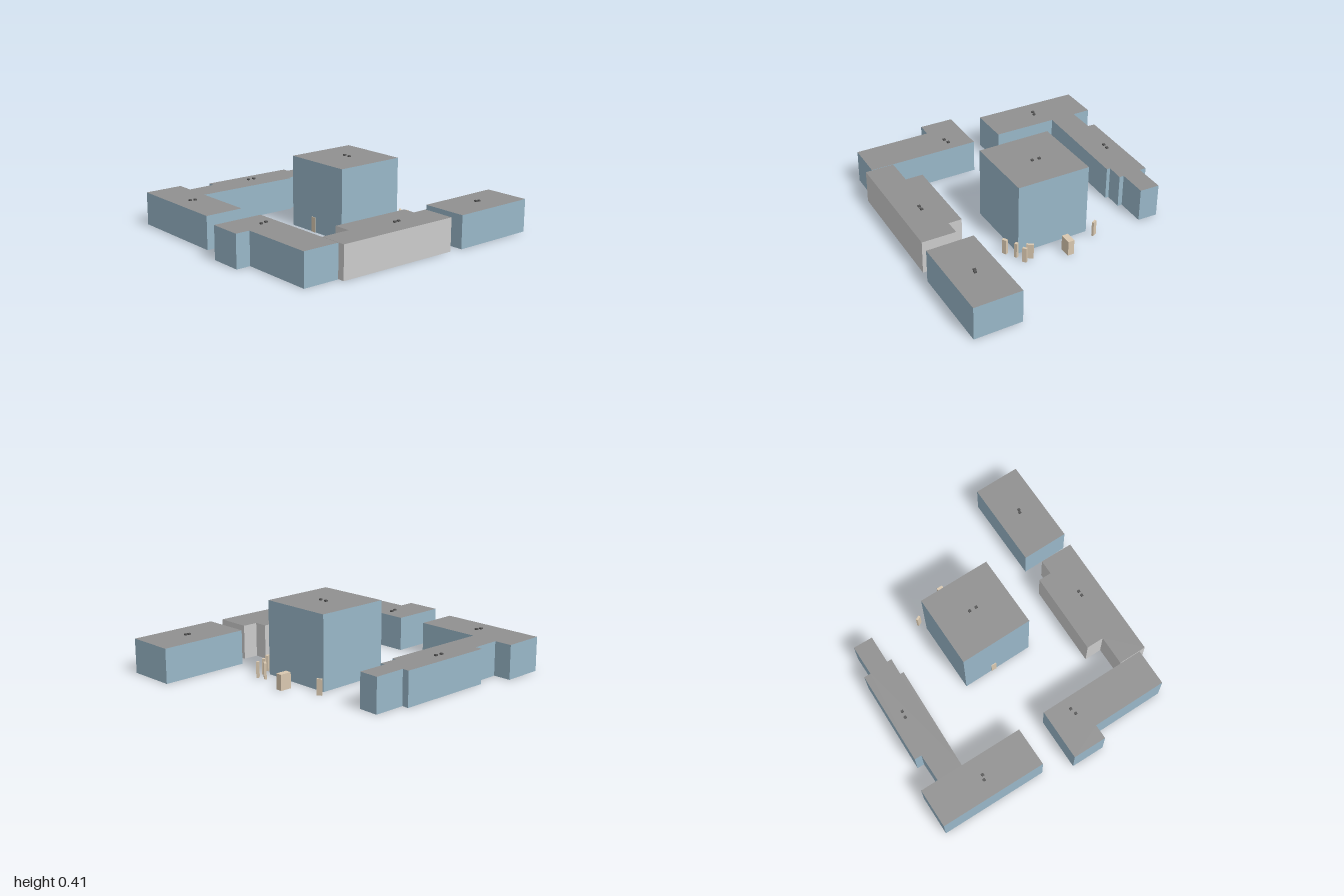
import * as THREE from 'three';
import { mergeGeometries } from 'three/addons/utils/BufferGeometryUtils.js';

const LOW = 0.187, HIGH = 0.4, TURN = -0.5;
const mat = (color, side = THREE.FrontSide) => new THREE.MeshStandardMaterial({ color, side });

// Footprints as [x, z] corners, clockwise seen from above
const BUILDINGS = [
  { name: 'tower', height: HIGH, plan: [[-0.04, -0.54], [0.322, -0.345], [0.13, 0.018], [-0.235, -0.175]] },
  { name: 'angledWing', height: LOW, plan: [
    [-1, 0.125], [-0.893, -0.07], [-0.805, -0.022], [-0.73, -0.162], [-0.765, -0.182], [-0.5, -0.647],
    [-0.467, -0.628], [-0.382, -0.783], [-0.285, -0.727], [-0.366, -0.583], [-0.342, -0.571],
    [-0.393, -0.486], [-0.375, -0.476], [-0.676, 0.05], [-0.364, 0.222], [-0.47, 0.42]] },
  { name: 'frontBlock', height: LOW, plan: [
    [-0.22, 0.293], [0.33, 0.59], [0.227, 0.775], [-0.152, 0.57], [-0.192, 0.643], [-0.36, 0.55]] },
  { name: 'greyBlock', height: LOW, grey: true, plan: [
    [0.447, -0.083], [0.512, -0.048], [0.553, -0.123], [0.72, -0.032],
    [0.364, 0.605], [0.222, 0.528], [0.304, 0.38], [0.217, 0.333]] },
  { name: 'backBlock', height: LOW, plan: [[0.765, -0.652], [1, -0.528], [0.763, -0.09], [0.53, -0.213]] },
];

// Rooftop vents: [x, z, roof height]
const VENTS = [
  [0.03, -0.285, HIGH], [0.065, -0.265, HIGH],
  [-0.59, -0.34, LOW], [-0.57, -0.37, LOW],
  [-0.69, 0.19, LOW], [-0.67, 0.17, LOW],
  [-0.135, 0.41, LOW], [-0.145, 0.445, LOW],
  [0.475, 0.165, LOW], [0.488, 0.14, LOW],
  [0.762, -0.375, LOW], [0.775, -0.387, LOW],
];

// Small kiosks on the ground: [x, z, width, depth, turn]
const KIOSKS = [
  [-0.035, -0.59, 0.028, 0.012, 0], [0.168, -0.55, 0.035, 0.065, TURN],
  [0.32, -0.415, 0.013, 0.038, 0.45], [0.362, -0.41, 0.014, 0.024, 0.2],
  [0.35, -0.352, 0.018, 0.016, 0], [0.356, -0.286, 0.016, 0.026, 0],
  [0.03, -0.25, 0.03, 0.03, TURN], [0.02, -0.36, 0.03, 0.03, TURN], [-0.07, -0.1, 0.03, 0.03, TURN],
];

// Hollow building: one wall per footprint edge, a flat roof, open underneath
function building({ name, height, plan, grey }) {
  const group = new THREE.Group();
  group.name = name;
  const panels = plan.map(([bx, bz], i) => {
    const [ax, az] = plan[(i + 1) % plan.length];
    const dx = bx - ax, dz = bz - az;
    return new THREE.PlaneGeometry(Math.hypot(dx, dz), height)
      .rotateY(Math.atan2(-dz, dx))
      .translate((ax + bx) / 2, height / 2, (az + bz) / 2);
  });
  const walls = new THREE.Mesh(mergeGeometries(panels), mat(grey ? 0xcccccc : 0x99b7c8, THREE.DoubleSide));
  walls.name = 'walls';

  const outline = new THREE.Shape(plan.map(([x, z]) => new THREE.Vector2(x, -z)));
  const roofGeometry = new THREE.ShapeGeometry(outline).rotateX(-Math.PI / 2).translate(0, height, 0);
  const roof = new THREE.Mesh(roofGeometry, mat(0x909090, THREE.DoubleSide));
  roof.name = 'roof';
  group.add(walls, roof);
  return group;
}

// Box standing on height y
function block(name, x, y, z, w, h, d, turn, material) {
  const mesh = new THREE.Mesh(new THREE.BoxGeometry(w, h, d), material);
  mesh.name = name;
  mesh.position.set(x, y + h / 2, z);
  mesh.rotation.y = turn;
  return mesh;
}

export function createModel() {
  const model = new THREE.Group();
  model.name = 'buildingComplex';
  BUILDINGS.forEach((b) => model.add(building(b)));

  const ventMat = mat(0x555555), kioskMat = mat(0xd9c8b0);
  VENTS.forEach(([x, z, y]) => model.add(block('roofVent', x, y, z, 0.014, 0.008, 0.014, TURN, ventMat)));
  KIOSKS.forEach(([x, z, w, d, turn]) => model.add(block('kiosk', x, 0, z, w, 0.085, d, turn, kioskMat)));
  return model;
}
